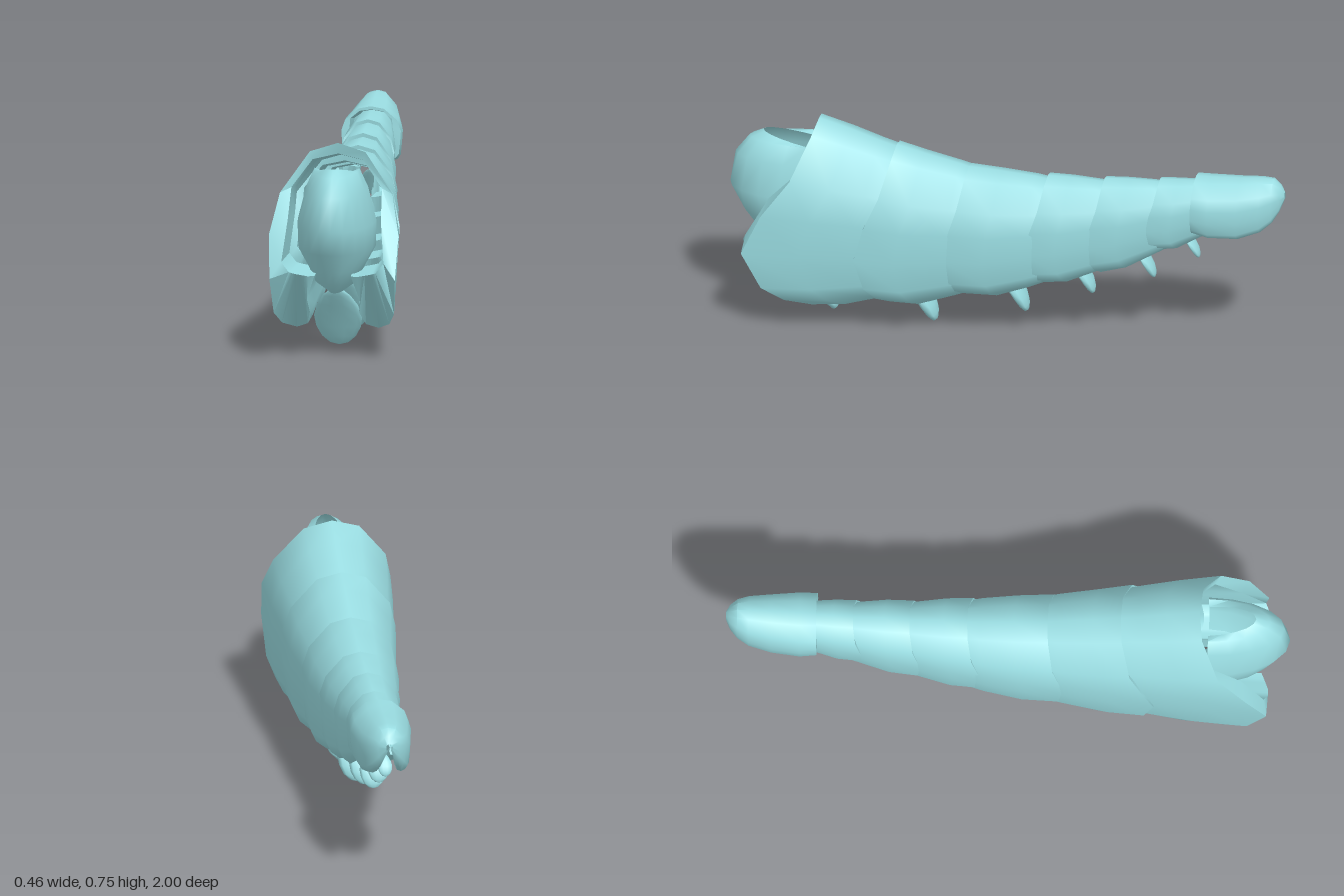
import * as THREE from 'three';
import { toCreasedNormals } from 'three/addons/utils/BufferGeometryUtils.js';

const material = new THREE.MeshStandardMaterial({ color: 0x9adde2, side: THREE.DoubleSide });

// Skin a grid of points: rows of equal length, outward = row direction x column direction
function skin(name, rows, crease = 0.75) {
  const n = rows[0].length, index = [];
  for (let r = 0; r < rows.length - 1; r++) {
    for (let c = 0; c < n - 1; c++) {
      const a = r * n + c, b = a + n;
      index.push(a, b, a + 1, a + 1, b, b + 1);
    }
  }
  const g = new THREE.BufferGeometry();
  g.setAttribute('position', new THREE.Float32BufferAttribute(rows.flat(2), 3));
  g.setIndex(index);
  const mesh = new THREE.Mesh(toCreasedNormals(g, crease), material);
  mesh.name = name;
  return mesh;
}

// Half sections of a plate, from crest down the side to the curled lower lip:
// [x share, height share, forward reach of the front edge]
const OUTER = [[0, 1, 0], [.43, .955, .01], [.87, .745, .07], [1, .547, .17], [.97, .32, .24], [.93, .12, .17],
  [.83, .045, .09], [.63, 0, 0], [.45, .03, .04], [.38, .12, .14], [.41, .2, .19], [.28, .335, .22]];
const RIM = [[0, .94, -.01], [.39, .91, 0], [.7, .77, .05], [.72, .62, .15], [.79, .41, .23], [.67, .36, .245],
  [.62, .355, .245], [.56, .35, .245], [.5, .345, .24], [.44, .34, .235], [.38, .335, .23], [.28, .335, .22]];

// stations run from front to back: [z, half width, bottom, top]
function plate(name, stations, reach) {
  const last = stations.length - 1;
  const row = (section, [z, w, bottom, top], k) => {
    const half = section.map(([u, v, f]) => [u * w, bottom + v * (top - bottom), z + f * k]);
    return [...half.slice(1).reverse().map(([x, y, d]) => [-x, y, d]), ...half];
  };
  const rows = stations.map((s, i) => row(OUTER, s, reach * (1 - i / last))).reverse();
  rows.push(row(RIM, stations[0], reach));
  // inner wall
  const [z, w, bottom, top] = stations[0];
  rows.push(row(RIM, [z - 0.4 * (z - stations[last][0]), w * 0.95, bottom + 0.01, top - 0.03], reach * 0.6));
  return skin(name, rows);
}

// Face shield: horizontal arcs, open behind
function faceShield() {
  const levels = [[.69, .055, .88], [.665, .08, .93], [.6, .11, .98], [.48, .14, 1],
    [.39, .138, .95], [.32, .1, .9], [.27, .08, .87], [.235, .03, .83]];
  const rows = levels.map(([y, w, apex], i) => {
    const arc = [];
    for (let k = -5; k <= 5; k++) {
      const a = k / 5 * Math.PI / 2;
      arc.push([w * Math.sin(a), y - (i ? 0 : .035) * (1 - Math.cos(a)), .71 + (apex - .71) * Math.cos(a)]);
    }
    return arc;
  });
  return skin('faceShield', rows, 1.2);
}

// Leaf-shaped foot, swept back towards its tip
function foot(tipY, tipZ, size) {
  const g = new THREE.SphereGeometry(1, 10, 8);
  const p = g.attributes.position;
  for (let i = 0; i < p.count; i++) {
    const y = p.getY(i);
    const wide = y > 0 ? 1 - 0.25 * y : 1;
    p.setXYZ(i, p.getX(i) * .086 * wide * size, (y + 1) * .115 * size,
      (p.getZ(i) * .03 + (y + 1) * .075 - .022 * (1 - y * y)) * size);
  }
  g.computeVertexNormals();
  const mesh = new THREE.Mesh(g, material);
  mesh.name = 'foot';
  mesh.position.set(0, tipY, tipZ);
  return mesh;
}

export function createModel() {
  const group = new THREE.Group();

  // Overlapping body plates, head to tail
  group.add(
    plate('hood', [[.68, .23, .087, .75], [.56, .217, .095, .715], [.46, .2, .12, .68], [.34, .175, .14, .645]], 1),
    plate('bodyPlate1', [[.4, .203, .115, .67], [.3, .19, .11, .645], [.17, .17, .15, .615], [.08, .15, .18, .59]], .5),
    plate('bodyPlate2', [[.14, .168, .16, .607], [.02, .162, .16, .6], [-.1, .145, .2, .59], [-.2, .12, .24, .575]], .28),
    plate('bodyPlate3', [[-.145, .14, .22, .597], [-.23, .135, .228, .597], [-.33, .115, .27, .592], [-.41, .095, .31, .585]], .25),
    plate('bodyPlate4', [[-.35, .115, .27, .604], [-.44, .112, .295, .608], [-.53, .095, .345, .608], [-.61, .08, .39, .6]], .2),
    plate('bodyPlate5', [[-.55, .096, .37, .618], [-.62, .093, .38, .622], [-.7, .08, .425, .625], [-.77, .07, .46, .62]], .15),
    plate('tailPlate', [[-.68, .106, .45, .642], [-.74, .108, .435, .643], [-.84, .095, .435, .648],
      [-.92, .08, .465, .654], [-.96, .062, .5, .652], [-.985, .04, .54, .63], [-1, .012, .58, .605]], .02)
  );
  group.add(faceShield());

  // Feet along the belly: tip height, tip z, size
  const feet = [[.015, .62, 1], [0, .26, .95], [.065, -.07, .8], [.155, -.31, .66],
    [.235, -.53, .54], [.325, -.69, .44], [.43, -.88, .3]];
  for (const f of feet) group.add(foot(...f));
  return group;
}
